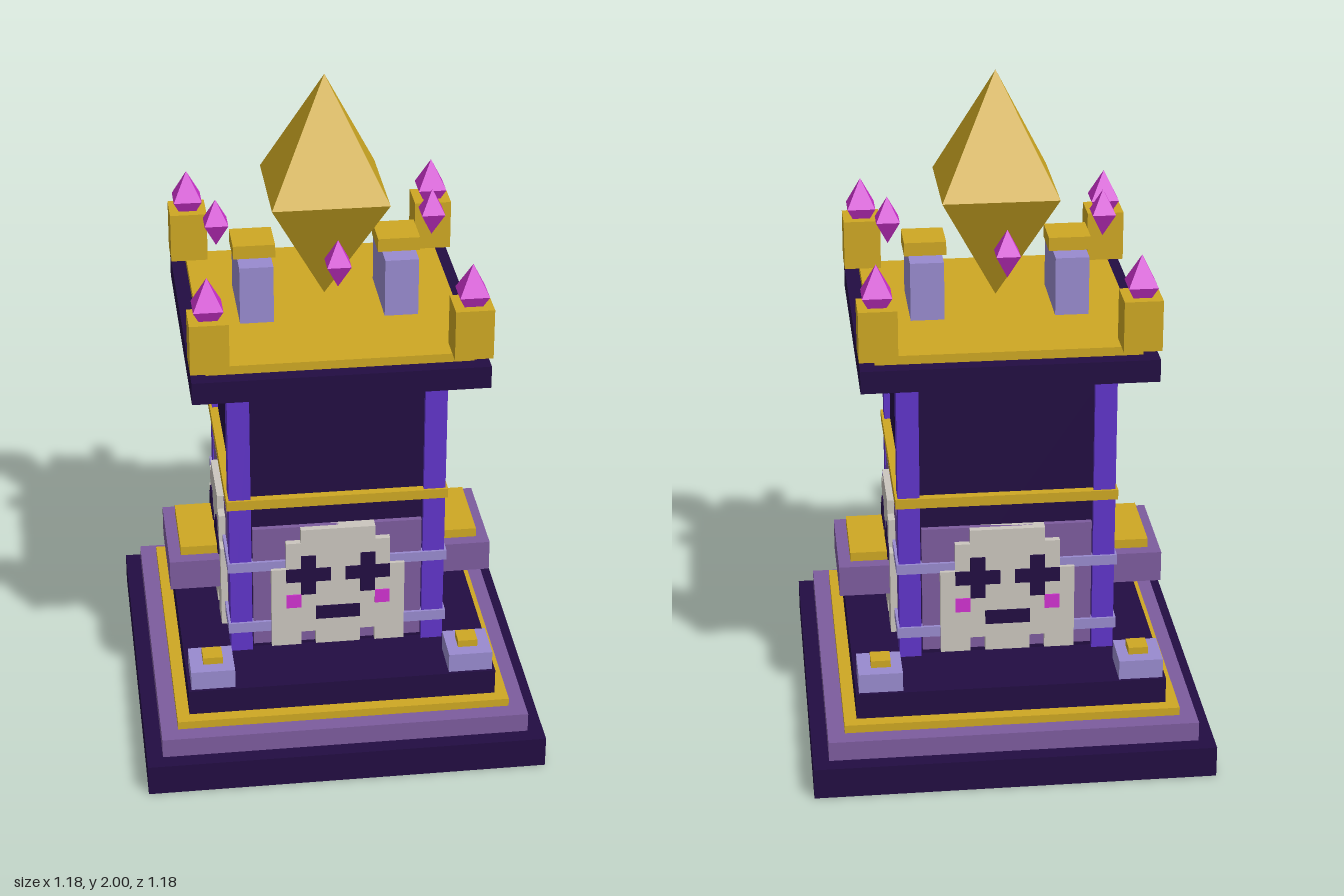
import * as THREE from 'three';

const mat = (name, color) => {
  const m = new THREE.MeshStandardMaterial({ color });
  m.name = name;
  return m;
};

export function createModel() {
  const dark = mat('dark indigo', 0x220d42);
  const purple = mat('dusty purple', 0x7d5c9e);
  const gold = mat('gold', 0xcea823);
  const lavender = mat('lavender', 0x998bcf);
  const violet = mat('violet', 0x6035ca);
  const bone = mat('bone', 0xcbc6be);
  const magenta = mat('magenta', 0xd032d0);

  const model = new THREE.Group();
  model.name = 'shrineTower';

  // Box given by its centre in x and z, its size, and its bottom and top
  const box = (name, material, x, z, w, d, y0, y1, parent = model) => {
    const m = new THREE.Mesh(new THREE.BoxGeometry(w, y1 - y0, d), material);
    m.name = name;
    m.position.set(x, (y0 + y1) / 2, z);
    parent.add(m);
    return m;
  };
  const slab = (name, material, half, y0, y1) => box(name, material, 0, 0, half * 2, half * 2, y0, y1);

  // Four-sided crystal with its edges square to the axes
  const crystal = (name, material, x, z, half, bottom, middle, top) => {
    const r = half * Math.SQRT2;
    const g = new THREE.Group();
    g.name = name;
    const upper = new THREE.ConeGeometry(r, top - middle, 4, 1, true).toNonIndexed();
    const lower = new THREE.ConeGeometry(r, middle - bottom, 4, 1, true).toNonIndexed();
    upper.rotateY(Math.PI / 4).translate(0, (top + middle) / 2, 0);
    lower.rotateX(Math.PI).rotateY(Math.PI / 4).translate(0, (middle + bottom) / 2, 0);
    [upper, lower].forEach((geo, i) => {
      geo.computeVertexNormals();
      const m = new THREE.Mesh(geo, material);
      m.name = i ? 'lowerPoint' : 'upperPoint';
      g.add(m);
    });
    g.position.set(x, 0, z);
    model.add(g);
  };

  // Stepped base
  slab('baseStep', dark, 0.592, 0, 0.095);
  slab('secondStep', purple, 0.545, 0.095, 0.155);
  slab('goldStep', gold, 0.495, 0.155, 0.18);
  slab('topStep', dark, 0.458, 0.18, 0.26);

  // Tower body with its bands, and the roof
  slab('towerCore', dark, 0.3, 0.3, 1.2);
  slab('lowerBand', lavender, 0.325, 0.367, 0.4);
  slab('upperBand', lavender, 0.325, 0.577, 0.608);
  slab('goldBand', gold, 0.325, 0.79, 0.82);
  slab('roofSlab', dark, 0.423, 1.2, 1.267);
  slab('roofPlate', gold, 0.38, 1.267, 1.293);

  // Corner details
  for (const sx of [-1, 1]) for (const sz of [-1, 1]) {
    box('cornerPost', violet, sx * 0.286, sz * 0.286, 0.064, 0.064, 0.3, 1.2);
    box('cornerFoot', lavender, sx * 0.384, sz * 0.384, 0.13, 0.13, 0.26, 0.32);
    box('cornerFootCap', gold, sx * 0.381, sz * 0.381, 0.058, 0.058, 0.32, 0.342);
    box('roofCornerBlock', gold, sx * 0.371, sz * 0.371, 0.11, 0.11, 1.295, 1.445);
    crystal('cornerCrystal', magenta, sx * 0.371, sz * 0.371, 0.042, 1.39, 1.478, 1.565);
  }

  // Side ledges and roof blocks
  for (const s of [-1, 1]) {
    box('sideLedge', purple, s * 0.395, 0, 0.182, 0.326, 0.432, 0.527);
    box('sideLedgeCap', gold, s * 0.385, 0, 0.13, 0.25, 0.527, 0.555);
    box('roofBlock', lavender, s * 0.21, 0, 0.098, 0.25, 1.295, 1.47);
    box('roofBlockCap', gold, s * 0.21, 0, 0.122, 0.124, 1.47, 1.51);
    crystal('floatingCrystal', magenta, s * 0.314, 0, 0.034, 1.49, 1.562, 1.632);
    crystal('floatingCrystal', magenta, 0, s * 0.314, 0.034, 1.49, 1.562, 1.632);
  }
  crystal('greatCrystal', gold, 0, 0, 0.168, 1.32, 1.66, 2);

  // Face panels on a grid of 11 by 9 cells, counted from the centre and the top
  const cell = 0.044, top = 0.716;
  const half = [[2.5, 0], [2.5, 1], [3.5, 1], [3.5, 3], [4.5, 3], [4.5, 9], [2.5, 9], [2.5, 8], [1.5, 8], [1.5, 9]];
  const outline = [...half, ...half.map(([x, y]) => [-x, y]).reverse()];
  const skullShape = new THREE.Shape(outline.map(([x, y]) => new THREE.Vector2(x * cell, top - y * cell)));
  const skullGeometry = new THREE.ExtrudeGeometry(skullShape, { depth: 0.036, bevelEnabled: false });

  for (let i = 0; i < 4; i++) {
    const face = new THREE.Group();
    face.name = 'facePanel';
    face.rotation.y = i * Math.PI / 2;
    model.add(face);
    box('panelBack', purple, 0, 0.305, 0.5, 0.022, 0.32, top, face);
    const skull = new THREE.Mesh(skullGeometry, bone);
    skull.name = 'skull';
    skull.position.z = 0.3;
    face.add(skull);

    // Thin painted cells: centre column, top row, width and height in cells
    const paint = (name, material, col, row, w, h) =>
      box(name, material, col * cell, 0.337, w * cell, 0.006, top - (row + h) * cell, top - row * cell, face);
    for (const s of [-1, 1]) {
      paint('eyeUpper', dark, s * 2, 2, 1, 1);
      paint('eyeBar', dark, s * 2, 3, 3, 1);
      paint('eyeLower', dark, s * 2, 4, 1, 1);
      paint('cheek', magenta, s * 3, 5, 1, 1);
    }
    paint('mouth', dark, 0, 6, 3, 1);
  }
  return model;
}
